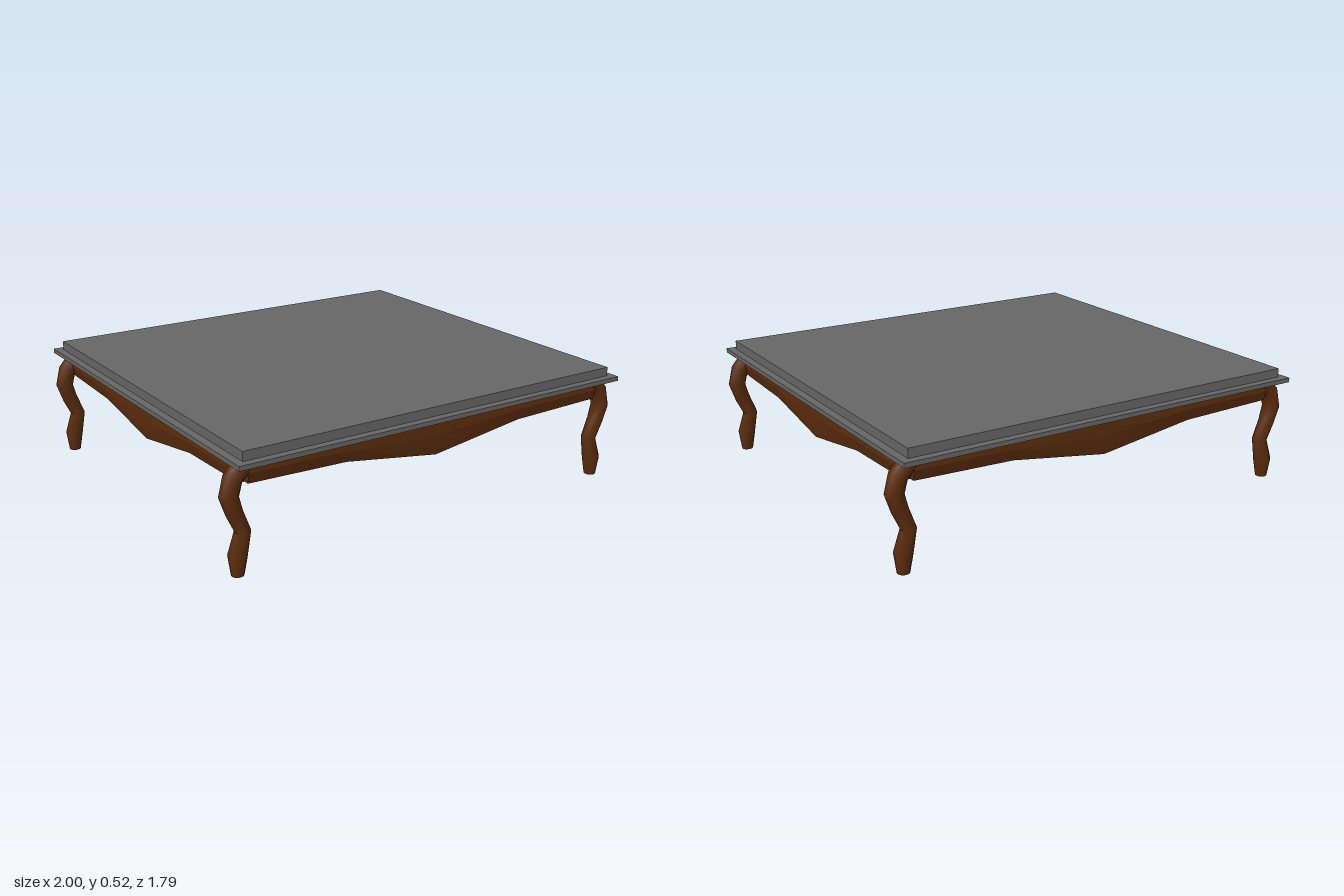
import * as THREE from 'three';
import { toCreasedNormals } from 'three/addons/utils/BufferGeometryUtils.js';

const wood = new THREE.MeshStandardMaterial({ color: 0x5a2c0c });
const slab = new THREE.MeshStandardMaterial({ color: 0x666666 });

// Joins rings of points (counter-clockwise about the path) into a capped solid.
function loft(rings, crease) {
  const n = rings[0].length, pos = [], index = [];
  rings.forEach(r => r.forEach(p => pos.push(...p)));
  for (let i = 0; i < rings.length - 1; i++) {
    for (let j = 0; j < n; j++) {
      const a = i * n + j, b = i * n + (j + 1) % n;
      index.push(a, b, b + n, a, b + n, a + n);
    }
  }
  const last = (rings.length - 1) * n;
  for (let j = 1; j < n - 1; j++) {
    index.push(0, j + 1, j, last, last + j, last + j + 1);
  }
  const g = new THREE.BufferGeometry();
  g.setAttribute('position', new THREE.Float32BufferAttribute(pos, 3));
  g.setIndex(index);
  return toCreasedNormals(g, crease);
}

// Curved leg on the +x side: rings square to the path, [x, y, radius] from the foot up.
function legGeometry() {
  const path = [
    [0.93, 0, 0.026], [0.929, 0.08, 0.039], [0.904, 0.18, 0.033], [0.938, 0.26, 0.035],
    [0.96, 0.33, 0.039], [0.942, 0.4, 0.039], [0.905, 0.44, 0.04], [0.87, 0.462, 0.04],
  ];
  const sides = 12;
  const rings = path.map(([x, y, r], i) => {
    const a = path[Math.max(i - 1, 0)], b = path[Math.min(i + 1, path.length - 1)];
    const t = i === 0 ? new THREE.Vector2(0, 1) : new THREE.Vector2(b[0] - a[0], b[1] - a[1]).normalize();
    return Array.from({ length: sides }, (_, k) => {
      const ang = k / sides * Math.PI * 2, s = Math.sin(ang) * r;
      return [x + t.y * s, y - t.x * s, Math.cos(ang) * r];
    });
  });
  return loft(rings, 0.7);
}

// Scalloped rail along x, bulging outward (+z) at a crease that dips in the middle.
function apronGeometry(half) {
  const stations = [[-1, 0.376, 0.42], [-0.5, 0.365, 0.415], [0, 0.3, 0.385], [0.5, 0.365, 0.415], [1, 0.376, 0.42]];
  const rings = stations.map(([u, low, mid]) => {
    const x = u * half;
    return [
      [x, 0.466, -0.06], [x, 0.466, 0.03], [x, mid, 0.036],
      [x, low, 0.024], [x, low, -0.024], [x, mid, -0.03],
    ];
  });
  return loft(rings, 0.3);
}

export function createModel() {
  const root = new THREE.Group();
  root.name = 'lowTable';
  const add = (name, geometry, material, x = 0, y = 0, z = 0, turn = 0) => {
    const mesh = new THREE.Mesh(geometry, material);
    mesh.name = name;
    mesh.position.set(x, y, z);
    mesh.rotation.y = turn;
    root.add(mesh);
  };

  // Stepped top
  add('topRim', new THREE.BoxGeometry(1.93, 0.02, 1.79), slab, 0, 0.475, 0);
  add('topSlab', new THREE.BoxGeometry(1.86, 0.04, 1.72), slab, 0, 0.505, 0);

  // Rails under the four edges
  const longRail = apronGeometry(0.89), sideRail = apronGeometry(0.8);
  add('frontApron', longRail, wood, 0, 0, 0.8, 0);
  add('backApron', longRail, wood, 0, 0, -0.8, Math.PI);
  add('leftApron', sideRail, wood, 0.89, 0, 0, Math.PI / 2);
  add('rightApron', sideRail, wood, -0.89, 0, 0, -Math.PI / 2);

  // Legs, bowed outward along x
  const leg = legGeometry();
  for (const [end, z] of [['front', 0.8], ['back', -0.8]]) {
    add(end + 'LeftLeg', leg, wood, 0, 0, z, 0);
    add(end + 'RightLeg', leg, wood, 0, 0, z, Math.PI);
  }
  return root;
}
